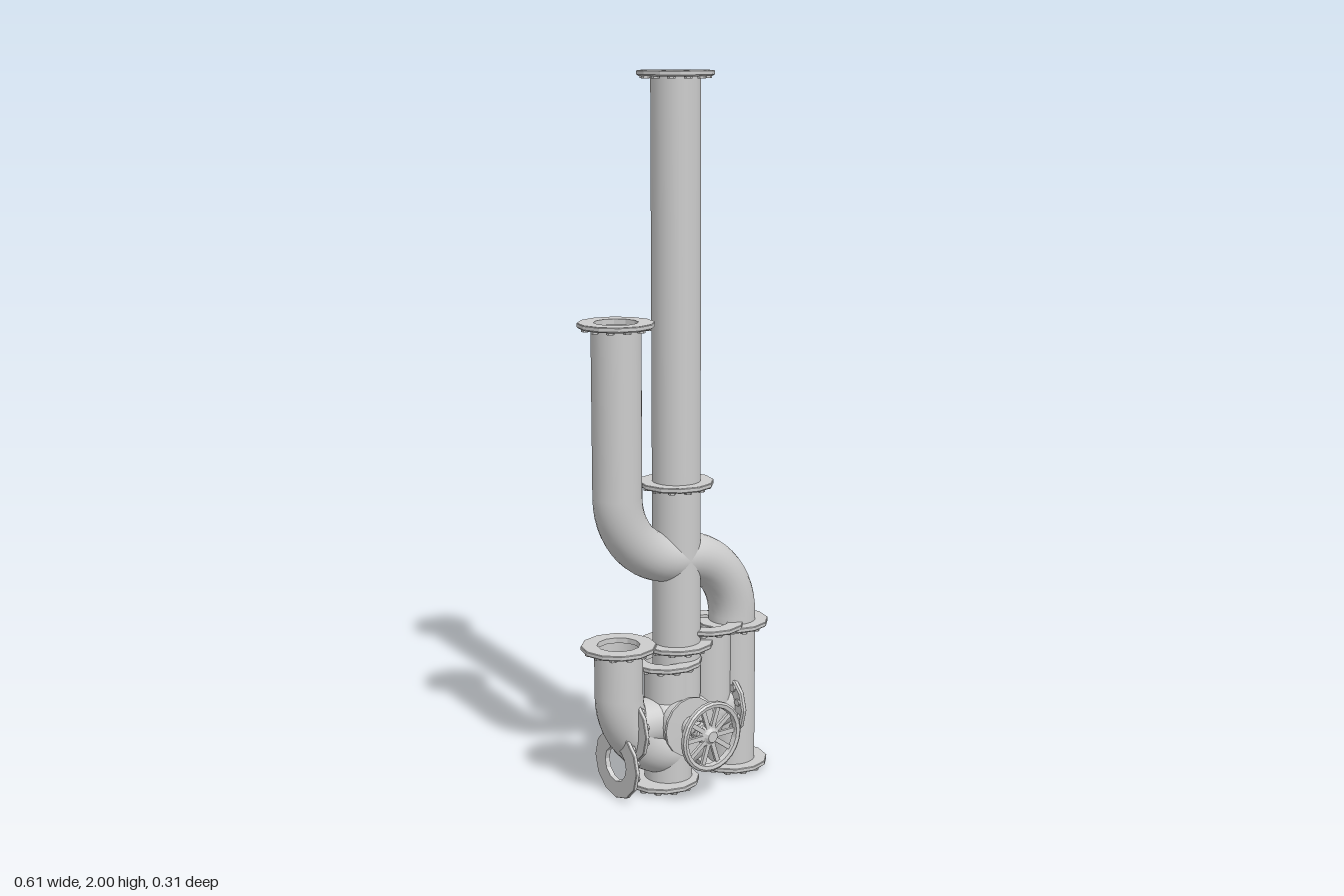
import * as THREE from 'three';

const R = 0.068, Z = -0.053; // pipe radius and the plane all pipe axes share

export function createModel() {
  const root = new THREE.Group();
  const metal = new THREE.MeshStandardMaterial({ color: 0xcccccc, side: THREE.DoubleSide });
  metal.name = 'light grey metal';

  const add = (name, geo, parent = root) => {
    const m = new THREE.Mesh(geo, metal);
    m.name = name;
    parent.add(m);
    return m;
  };
  const faceted = (geo) => {
    const g = geo.toNonIndexed();
    g.computeVertexNormals();
    return g;
  };
  const v = (x, y) => new THREE.Vector3(x, y, Z);

  // Straight open pipe between two points
  const pipe = (name, a, b) => {
    const d = b.clone().sub(a);
    const m = add(name, new THREE.CylinderGeometry(R, R, d.length(), 24, 1, true));
    m.position.copy(a).addScaledVector(d, 0.5);
    m.quaternion.setFromUnitVectors(new THREE.Vector3(0, 1, 0), d.normalize());
  };

  // Quarter bend about (cx, cy), starting at a number of quarter turns
  const bend = (name, cx, cy, r, quarter) => {
    const m = add(name, new THREE.TorusGeometry(r, R, 24, 14, Math.PI / 2));
    m.position.copy(v(cx, cy));
    m.rotation.z = quarter * Math.PI / 2;
  };

  // Faceted ring flange, its outer face at the origin, bolts on the inner side
  const flange = (name, x, y, r = 0.105, hole = 0.06) => {
    const g = new THREE.Group();
    g.name = name;
    const prof = [[hole, -0.015], [r * 0.95, -0.015], [r, -0.011], [r, -0.002], [r * 0.985, 0], [hole, 0], [hole, -0.015]];
    add('ring', faceted(new THREE.LatheGeometry(prof.map(p => new THREE.Vector2(...p)), 12)), g);
    for (let i = 0; i < 12; i++) {
      const a = (i + 0.5) * Math.PI / 6;
      const bolt = add('bolt', faceted(new THREE.CylinderGeometry(0.011, 0.011, 0.006, 6)), g);
      bolt.position.set(Math.sin(a) * r * 0.82, -0.018, Math.cos(a) * r * 0.82);
    }
    g.position.copy(v(x, y));
    root.add(g);
    return g;
  };

  // Flat floor deep inside an open pipe end
  const floor = (x, y) => {
    const m = add('pipeFloor', new THREE.CircleGeometry(R, 24));
    m.position.copy(v(x, y));
    m.rotation.x = -Math.PI / 2;
  };

  // Tall central stack
  pipe('tallPipe', v(0, 0.87), v(0, 1.995));
  flange('tallPipeTopFlange', 0, 2);
  floor(0, 1.88);
  flange('stackJointFlange', 0, 0.885);
  pipe('crossPipe', v(0, 0.2), v(0, 0.88));

  // Branch crossing the stack, with a riser on one side and a drop on the other
  pipe('branchRiser', v(-0.2, 0.865), v(-0.2, 1.335));
  flange('branchRiserFlange', -0.2, 1.345);
  floor(-0.2, 1.22);
  bend('upperBend', 0, 0.865, 0.2, 2);
  bend('lowerBend', 0, 0.465, 0.2, 0);
  pipe('dropPipe', v(0.2, 0.01), v(0.2, 0.465));
  flange('dropTopFlange', 0.2, 0.447);
  flange('dropFootFlange', 0.2, 0.024);
  floor(0.2, 0.13);

  // Curved inlets of the manifold
  pipe('sideInlet', v(-0.2, 0.3), v(-0.2, 0.44));
  flange('sideInletFlange', -0.2, 0.447);
  floor(-0.2, 0.32);
  bend('sideInletBend', 0, 0.3, 0.2, 2);
  pipe('innerInlet', v(0.11, 0.245), v(0.11, 0.45));
  flange('innerInletFlange', 0.11, 0.455);
  bend('innerInletBend', -0.035, 0.245, 0.145, 3);

  // Manifold body
  pipe('manifoldUpright', v(-0.03, 0.01), v(-0.03, 0.37));
  flange('manifoldFootFlange', -0.05, 0.024, 0.105, 0.045);
  flange('manifoldNeckFlange', -0.04, 0.375);
  flange('stackFootFlange', 0, 0.42);
  pipe('manifoldCross', v(-0.175, 0.2), v(0.16, 0.2));
  add('manifoldCore', new THREE.SphereGeometry(0.09, 24, 16)).position.copy(v(-0.03, 0.2));

  // Side flanges and the low outlet ring
  flange('rightSideFlange', -0.182, 0.2, 0.102, 0.03).rotation.z = Math.PI / 2;
  flange('leftSideFlange', 0.175, 0.2, 0.102, 0.03).rotation.z = -Math.PI / 2;
  flange('outletRing', -0.214, 0.1, 0.1, 0.05).rotation.z = Math.PI / 2;

  // Valve on the front: bonnet, stem and spoked wheel
  const valve = new THREE.Group();
  valve.name = 'valve';
  valve.position.set(-0.03, 0.2, 0);
  root.add(valve);
  const turned = (name, pts, n) => {
    const geo = new THREE.LatheGeometry(pts.map(p => new THREE.Vector2(...p)), n);
    add(name, faceted(geo).rotateX(Math.PI / 2), valve);
  };
  turned('bonnetPipe', [[R, -0.05], [R, 0.04]], 24);
  turned('bonnetFlange', [[R, 0.044], [0.085, 0.044], [0.085, 0.052], [0.032, 0.053], [0.03, 0.064], [0, 0.064]], 16);
  turned('stem', [[0.018, 0.06], [0.018, 0.077], [0.026, 0.08], [0.028, 0.097], [0.026, 0.114],
    [0.018, 0.117], [0.018, 0.125], [0.036, 0.133], [0.03, 0.142], [0.022, 0.146], [0.016, 0.154], [0, 0.154]], 12);
  for (let i = 0; i < 8; i++) {
    const a = (i + 0.5) * Math.PI / 4;
    const stud = add('stemStud', new THREE.CylinderGeometry(0.009, 0.009, 0.003, 10), valve);
    stud.position.set(Math.cos(a) * 0.027, Math.sin(a) * 0.027, 0.097);
    stud.rotation.z = a - Math.PI / 2;
  }
  turned('wheelRim', [[0.081, 0.138], [0.09, 0.132], [0.1, 0.14], [0.1, 0.151], [0.094, 0.155], [0.084, 0.153], [0.081, 0.138]], 24);
  for (let i = 0; i < 10; i++) {
    const a = i * Math.PI / 5;
    const spoke = add('wheelSpoke', new THREE.BoxGeometry(0.064, 0.013, 0.009), valve);
    spoke.position.set(Math.cos(a) * 0.054, Math.sin(a) * 0.054, 0.14);
    spoke.rotation.z = a;
  }
  return root;
}
